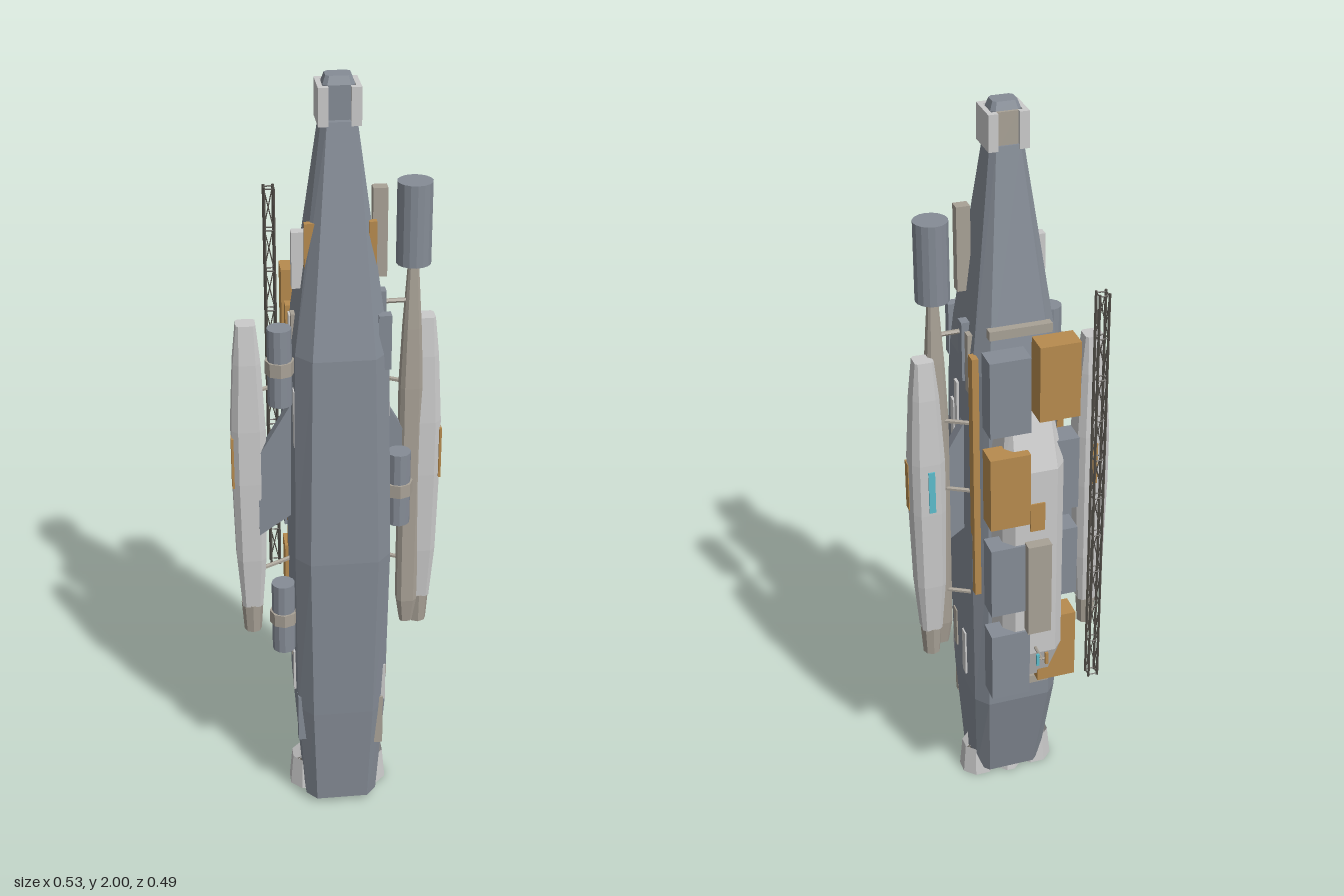
import * as THREE from 'three';

const mat = (name, color) => {
  const m = new THREE.MeshStandardMaterial({ color });
  m.name = name;
  m.flatShading = true;
  return m;
};

export function createModel() {
  const root = new THREE.Group();
  root.name = 'uprightSpaceship';
  const grey = mat('hullGrey', 0x858c96), light = mat('paleGrey', 0xcacaca), tan = mat('warmGrey', 0xa8a196);
  const orange = mat('ochre', 0xb78b4e), cyan = mat('cyan', 0x5cbccb), dark = mat('darkTruss', 0x55514b);

  const add = (name, geo, m, x = 0, y = 0, z = 0) => {
    const mesh = new THREE.Mesh(geo, m);
    mesh.name = name;
    mesh.position.set(x, y, z);
    root.add(mesh);
    return mesh;
  };
  // box given by its extents on each axis
  const box = (name, m, x0, x1, y0, y1, z0, z1) =>
    add(name, new THREE.BoxGeometry(Math.abs(x1 - x0), y1 - y0, Math.abs(z1 - z0)), m, (x0 + x1) / 2, (y0 + y1) / 2, (z0 + z1) / 2);
  const rod = (name, m, a, b, r, sides = 6) => {
    const p = new THREE.Vector3(...a), q = new THREE.Vector3(...b);
    const mesh = add(name, new THREE.CylinderGeometry(r, r, p.distanceTo(q), sides), m);
    mesh.position.copy(p).lerp(q, 0.5);
    mesh.quaternion.setFromUnitVectors(new THREE.Vector3(0, 1, 0), q.sub(p).normalize());
  };
  // eight-sided section: front flat, side width, depths from front to back, back flat
  const oct = (a, b, zf, zsf, zsb, zb, c) =>
    [[-a, zf], [a, zf], [b, zsf], [b, zsb], [c, zb], [-c, zb], [-b, zsb], [-b, zsf]];
  const chamfered = (w, d, k) => oct(w - k, w, d, d - k, k - d, -d, w - k);
  const loft = (sections) => {
    const v = [], n = sections[0][1].length;
    const put = (s, i) => v.push(s[1][i % n][0], s[0], s[1][i % n][1]);
    for (let j = 0; j + 1 < sections.length; j++) {
      const lo = sections[j], hi = sections[j + 1];
      for (let i = 0; i < n; i++) {
        put(lo, i); put(lo, i + 1); put(hi, i + 1);
        put(lo, i); put(hi, i + 1); put(hi, i);
      }
    }
    const bottom = sections[0], top = sections[sections.length - 1];
    for (let i = 1; i + 1 < n; i++) {
      put(top, 0); put(top, i); put(top, i + 1);
      put(bottom, 0); put(bottom, i + 1); put(bottom, i);
    }
    const g = new THREE.BufferGeometry();
    g.setAttribute('position', new THREE.Float32BufferAttribute(v, 3));
    g.computeVertexNormals();
    return g;
  };

  // main hull and nose
  add('hull', loft([
    [0.02, oct(0.068, 0.095, 0.2, 0.17, 0.05, 0.02, 0.065)],
    [0.32, oct(0.078, 0.115, 0.22, 0.18, -0.01, -0.045, 0.085)],
    [0.8, oct(0.085, 0.12, 0.241, 0.2, -0.02, -0.055, 0.088)],
    [1.35, oct(0.075, 0.113, 0.218, 0.175, -0.02, -0.058, 0.08)],
    [1.9, oct(0.03, 0.042, 0.122, 0.105, 0.05, 0.035, 0.03)],
  ]), grey);
  add('nose', loft([[1.88, chamfered(0.037, 0.03, 0.01)], [1.98, chamfered(0.037, 0.03, 0.01)], [2, chamfered(0.03, 0.023, 0.008)]]), grey, 0, 0, 0.077);
  box('noseBackPlate', tan, -0.026, 0.026, 1.89, 1.98, 0.04, 0.048);
  for (const s of [-1, 1]) {
    box('noseCollarSide', light, s * 0.038, s * 0.05, 1.89, 1.98, 0.03, 0.124);
    for (const z of [0.03, 0.108]) box('noseCollarLip', light, s * 0.026, s * 0.038, 1.89, 1.98, z, z + 0.016);
  }

  // engine nozzles, open below
  const nozzle = (x, z, r, y1) => {
    const pts = [[r * 0.55, y1 * 0.6], [r * 0.82, 0], [r, 0], [r * 0.84, y1]].map(p => new THREE.Vector2(...p));
    const g = new THREE.LatheGeometry(pts, 8, Math.PI / 8);
    const m = add('engineNozzle', g, light, x, 0, z);
    m.material = lightDouble;
    add('engineCore', new THREE.CylinderGeometry(r * 0.7, r * 0.7, 0.005, 8), dark, x, y1 * 0.5, z);
  };
  const lightDouble = light;
  light.side = THREE.DoubleSide;
  for (const s of [-1, 1]) nozzle(s * 0.083, 0.08, 0.052, 0.09);
  for (const z of [0.05, 0.115]) nozzle(0, z, 0.03, 0.03);

  for (const s of [-1, 1]) {
    // side nacelles
    const nx = s * 0.221, nz = 0.038;
    add('nacelle', loft([
      [0.57, chamfered(0.027, 0.026, 0.009)], [0.72, chamfered(0.038, 0.038, 0.014)], [0.95, chamfered(0.043, 0.043, 0.016)],
      [1.1, chamfered(0.043, 0.043, 0.016)], [1.28, chamfered(0.034, 0.034, 0.013)], [1.38, chamfered(0.024, 0.023, 0.006)],
    ]), light, nx, 0, nz);
    add('nacelleTail', new THREE.CylinderGeometry(0.029, 0.023, 0.085, 8), tan, nx, 0.53, nz);
    box('nacelleSidePanel', orange, s * 0.26, s * 0.266, 0.94, 1.08, 0.048, 0.075);
    box('nacelleBackPanel', s < 0 ? orange : cyan, s * 0.21, s * 0.227, 0.96, 1.08, -0.009, 0);

    // swept pylon and bracing rods
    const shape = new THREE.Shape([[0.1, 0.87], [0.2, 0.8], [0.2, 1.03], [0.17, 1.08], [0.1, 1.2]].map(p => new THREE.Vector2(s * p[0], p[1])));
    add('pylon', new THREE.ExtrudeGeometry(shape, { depth: 0.03, bevelEnabled: false }), grey, 0, 0, 0.05);
    for (const y of [0.68, 1.0, 1.2]) rod('nacelleStrut', tan, [s * 0.1, y, -0.005], [s * 0.19, y, 0.045], 0.006);

    // ochre rail along the hull side
    box('sideRail', orange, s * 0.102, s * 0.119, 0.7, 1.4, -0.04, -0.008);
  }

  // slender boom with drum on the left nacelle
  add('boom', loft([
    [0.5, chamfered(0.016, 0.016, 0.006)], [0.57, chamfered(0.026, 0.026, 0.01)], [1.2, chamfered(0.028, 0.028, 0.01)],
    [1.36, chamfered(0.022, 0.022, 0.008)], [1.53, chamfered(0.012, 0.012, 0.004)],
  ]), tan, 0.186, 0, 0.057);
  add('boomDrum', new THREE.CylinderGeometry(0.043, 0.043, 0.205, 16), grey, 0.186, 1.63, 0.057);
  rod('boomStrut', tan, [0.09, 1.43, 0.06], [0.186, 1.43, 0.057], 0.006);

  // banded tanks beside the hull
  for (const [x, y, h] of [[-0.148, 1.315, 0.2], [-0.148, 0.6, 0.2], [0.145, 0.965, 0.2]]) {
    add('tank', new THREE.CylinderGeometry(0.03, 0.03, h, 12), grey, x, y, 0.152);
    add('tankBand', new THREE.CylinderGeometry(0.036, 0.036, 0.035, 8), tan, x, y, 0.152);
    rod('tankMount', tan, [x, y, 0.152], [Math.sign(x) * 0.09, y, 0.12], 0.012);
  }

  // rear cargo spine
  add('cargoSpine', loft([
    [0.48, oct(0.06, 0.06, -0.05, -0.06, -0.11, -0.14, 0.045)], [0.58, oct(0.075, 0.08, -0.05, -0.06, -0.15, -0.178, 0.055)],
    [1.14, oct(0.075, 0.08, -0.05, -0.06, -0.15, -0.178, 0.055)], [1.26, oct(0.06, 0.062, -0.05, -0.06, -0.125, -0.14, 0.05)],
  ]), light);
  for (const y of [0.39, 1.465]) box('spineRib', tan, -0.08, 0.08, y - 0.012, y + 0.012, -0.058, -0.035);

  // cargo containers in two columns
  [0.46, 0.73, 0.995, 1.26].forEach((y, i) => {
    box('leftContainer', i === 2 ? orange : grey, 0.017, 0.12, y, y + 0.203, -0.184, -0.122);
    box('rightContainer', i % 3 === 0 ? orange : grey, -0.122, -0.018, y, y + 0.203, -0.147, -0.083);
  });
  box('equipmentBox', tan, -0.032, 0.03, 0.67, 0.94, -0.208, -0.165);
  box('equipmentStripe', orange, -0.022, 0.016, 0.97, 1.05, -0.182, -0.174);

  // sensor arm with two lamps
  rod('sensorArm', tan, [0, 0.6, -0.17], [0, 0.6, -0.23], 0.004);
  rod('sensorCrossbar', tan, [-0.012, 0.6, -0.228], [0.012, 0.6, -0.228], 0.003);
  box('ochreLamp', orange, -0.016, -0.008, 0.585, 0.62, -0.236, -0.229);
  box('cyanLamp', cyan, 0.008, 0.016, 0.585, 0.62, -0.236, -0.229);

  // free-standing lattice mast
  const corners = [[-0.15, -0.242], [-0.126, -0.242], [-0.126, -0.218], [-0.15, -0.218]];
  corners.forEach(([x, z], i) => {
    const [u, w] = corners[(i + 1) % 4];
    rod('mastPost', dark, [x, 0.52, z], [x, 1.63, z], 0.0035, 4);
    for (let k = 0; k <= 10; k++) {
      const y = 0.525 + k * 0.11;
      rod('mastRung', dark, [x, y, z], [u, y, w], 0.002, 4);
      if (k < 10) rod('mastBrace', dark, [x, y, z], [u, y + 0.11, w], 0.0015, 4);
    }
  });

  // raised hull plates: side, inner and outer x, y range, z range
  const plates = [
    [1, tan, 0.07, 0.108, 0.2, 0.35, 0.18, 0.2], [1, light, 0.08, 0.114, 0.34, 0.45, 0.172, 0.195],
    [1, tan, 0.09, 0.12, 0.4, 0.52, 0.14, 0.167], [1, light, 0.09, 0.121, 0.36, 0.5, 0.058, 0.085],
    [1, light, 0.09, 0.121, 1.06, 1.2, 0.122, 0.147], [1, light, 0.09, 0.121, 1.13, 1.27, 0.09, 0.112],
    [1, grey, 0.085, 0.116, 1.31, 1.45, 0.165, 0.192], [1, orange, 0.065, 0.084, 1.5, 1.67, 0.132, 0.15],
    [1, tan, 0.078, 0.113, 1.52, 1.74, 0.09, 0.12], [1, grey, 0.085, 0.12, 1.3, 1.46, 0.04, 0.07], [1, tan, 0.082, 0.114, 1.28, 1.44, 0.01, 0.034],
    [-1, light, 0.078, 0.114, 1.5, 1.64, 0.095, 0.122], [-1, orange, 0.06, 0.086, 1.5, 1.67, 0.132, 0.148],
    [-1, tan, 0.085, 0.114, 1.28, 1.42, 0.064, 0.09], [-1, light, 0.085, 0.116, 1.25, 1.4, 0.025, 0.053],
    [-1, light, 0.085, 0.117, 1.1, 1.25, 0.14, 0.17], [-1, grey, 0.08, 0.116, 0.22, 0.36, 0.165, 0.19],
    [-1, tan, 0.09, 0.121, 0.42, 0.56, 0.05, 0.08], [-1, light, 0.09, 0.121, 0.34, 0.46, 0.1, 0.125],
  ];
  for (const [s, m, x0, x1, ...r] of plates) box('hullPlate', m, s * x0, s * x1, ...r);

  // centre the whole ship on the ground
  const b = new THREE.Box3().setFromObject(root), c = b.getCenter(new THREE.Vector3());
  for (const o of root.children) { o.position.x -= c.x; o.position.y -= b.min.y; o.position.z -= c.z; }
  return root;
}
